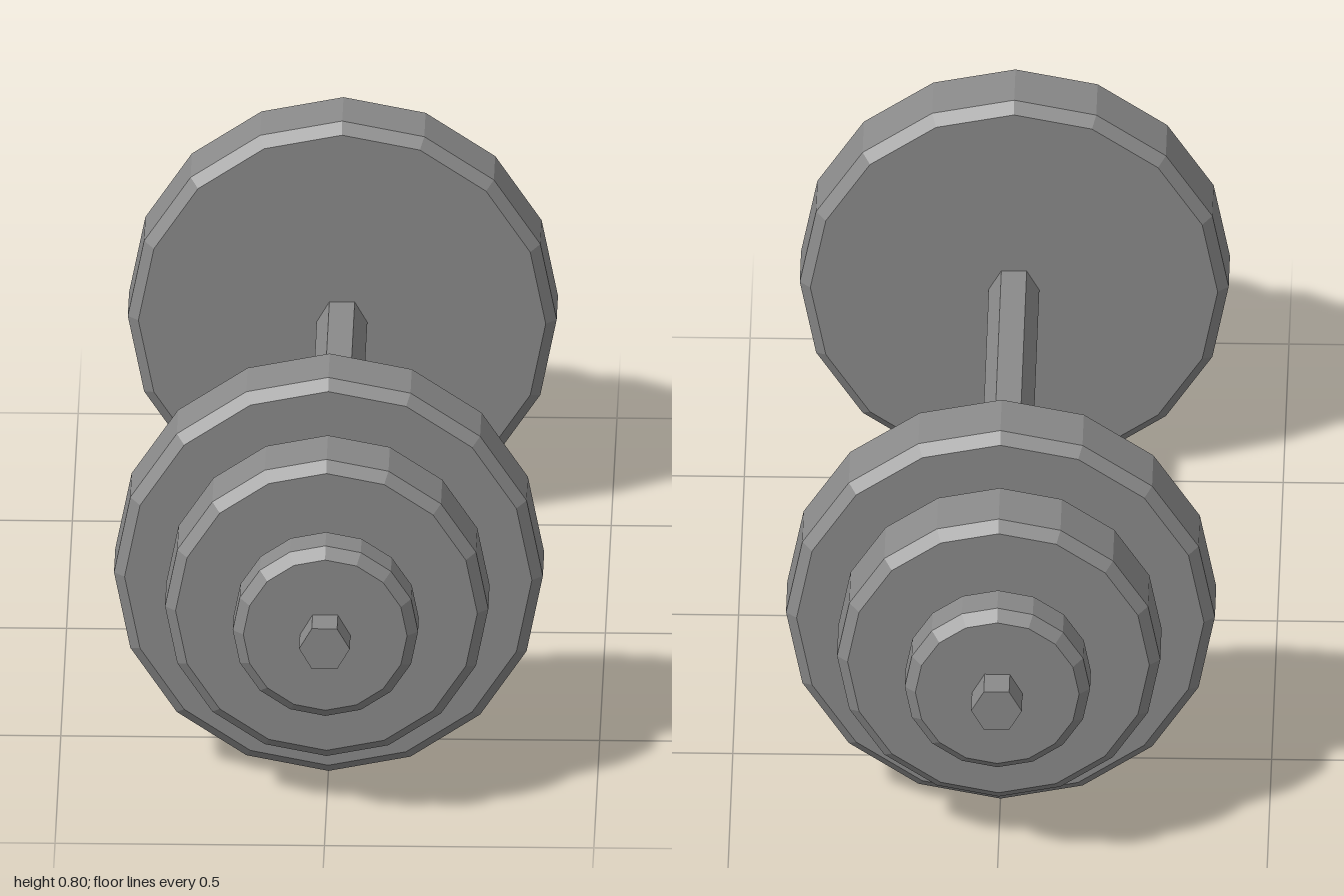
import * as THREE from 'three';

const AXIS_Y = 0.398; // height of the bar above the floor
const BEVEL = 0.02;

// Facet a geometry so every side reads flat
function faceted(geometry) {
  const flat = geometry.toNonIndexed();
  flat.computeVertexNormals();
  return flat;
}

// Bevelled 16-sided disc lying along z, from z0 to z1
function plateGeometry(radius, z0, z1) {
  const profile = [
    [0, z0],
    [radius - BEVEL, z0],
    [radius, z0 + BEVEL],
    [radius, z1 - BEVEL],
    [radius - BEVEL, z1],
    [0, z1],
  ].map(([r, z]) => new THREE.Vector2(r, z));
  return faceted(new THREE.LatheGeometry(profile, 16).rotateX(Math.PI / 2));
}

export function createModel() {
  const model = new THREE.Group();
  model.name = 'dumbbell';

  const steel = new THREE.MeshStandardMaterial({ color: 0x8a8a8a });
  steel.name = 'grey steel';

  // Hexagonal bar with corners to the left and right
  const barGeometry = new THREE.CylinderGeometry(0.047, 0.047, 2, 6, 1, false, Math.PI / 2);
  const bar = new THREE.Mesh(faceted(barGeometry.rotateX(Math.PI / 2)), steel);
  bar.name = 'bar';
  bar.position.y = AXIS_Y;
  model.add(bar);

  // Name, radius, inner and outer distance from the middle
  const plates = [
    ['largePlate', 0.398, 0.521, 0.672],
    ['mediumPlate', 0.3, 0.676, 0.828],
    ['collar', 0.172, 0.832, 0.936],
  ];

  // Same stack of weights on both ends
  for (const [end, turn] of [['frontWeights', 0], ['backWeights', Math.PI]]) {
    const weights = new THREE.Group();
    weights.name = end;
    weights.position.y = AXIS_Y;
    weights.rotation.y = turn;
    for (const [name, radius, z0, z1] of plates) {
      const plate = new THREE.Mesh(plateGeometry(radius, z0, z1), steel);
      plate.name = name;
      weights.add(plate);
    }
    model.add(weights);
  }

  return model;
}
